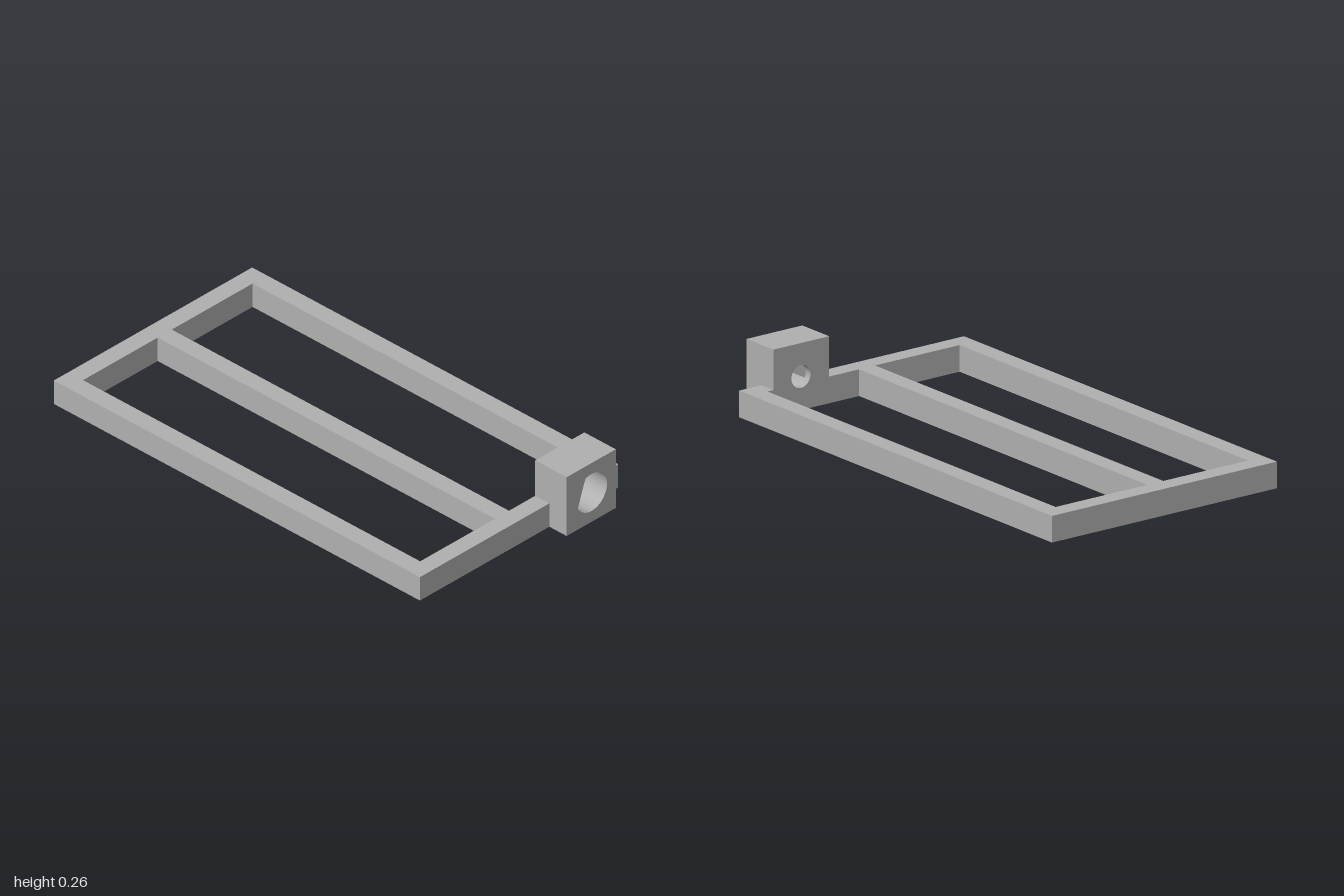
import * as THREE from 'three';

// Polygon from [x, z] pairs, ready to be extruded upwards
const outline = (points, Type = THREE.Shape) =>
  new Type(points.map(([x, z]) => new THREE.Vector2(x, -z)));

const rectangle = (x0, x1, z0, z1) => [[x0, z0], [x1, z0], [x1, z1], [x0, z1]];

export function createModel() {
  const model = new THREE.Group();
  model.name = 'framedTray';
  const grey = new THREE.MeshStandardMaterial({ color: 0xb0b0b0 });
  grey.name = 'grey';

  const add = (name, geometry) => {
    const mesh = new THREE.Mesh(geometry, grey);
    mesh.name = name;
    model.add(mesh);
    return mesh;
  };

  // Main dimensions
  const height = 0.105;
  const left = -1, right = 0.91, edge = 0.533;
  const innerLeft = -0.923, innerRight = 0.836;
  const blockNear = -0.163, blockFar = -0.427, blockHeight = 0.264;

  // Flat frame with two long openings; the back one breaks out where the block sits
  const frameShape = outline([
    [left, edge], [right, edge], [right, blockNear], [innerRight, blockNear],
    [innerRight, -0.022], [innerLeft, -0.022], [innerLeft, -0.456], [innerRight, -0.456],
    [innerRight, blockFar], [right, blockFar], [right, -edge], [left, -edge],
  ]);
  frameShape.holes.push(outline(rectangle(innerLeft, innerRight, 0.054, 0.455), THREE.Path));
  const frameGeometry = new THREE.ExtrudeGeometry(frameShape, { depth: height, bevelEnabled: false });
  frameGeometry.rotateX(-Math.PI / 2);
  add('frame', frameGeometry);

  // Socket block: drawn in the (-z, y) plane and extruded along +x
  const holeU = 0.297, holeY = 0.132;
  const blockSlice = (name, x0, x1, hole) => {
    const shape = new THREE.Shape([
      [-blockNear, 0], [-blockFar, 0], [-blockFar, blockHeight], [-blockNear, blockHeight],
    ].map(([u, y]) => new THREE.Vector2(u, y)));
    shape.holes.push(hole);
    const geometry = new THREE.ExtrudeGeometry(shape, {
      depth: x1 - x0, bevelEnabled: false, curveSegments: 48,
    });
    geometry.rotateY(Math.PI / 2).translate(x0, 0, 0);
    add(name, geometry);
  };

  // Thin inner wall with a round through hole
  const roundHole = new THREE.Path().absarc(holeU, holeY, 0.045, 0, Math.PI * 2, false);
  blockSlice('blockInnerWall', innerRight, 0.865, roundHole);

  // Outer body with a D-shaped pocket, flat on the side towards the frame's middle
  const deg = Math.PI / 180;
  const pocket = new THREE.Path().absarc(holeU, holeY, 0.083, 207 * deg, 474 * deg, false);
  pocket.closePath();
  blockSlice('blockBody', 0.865, 1, pocket);

  return model;
}
